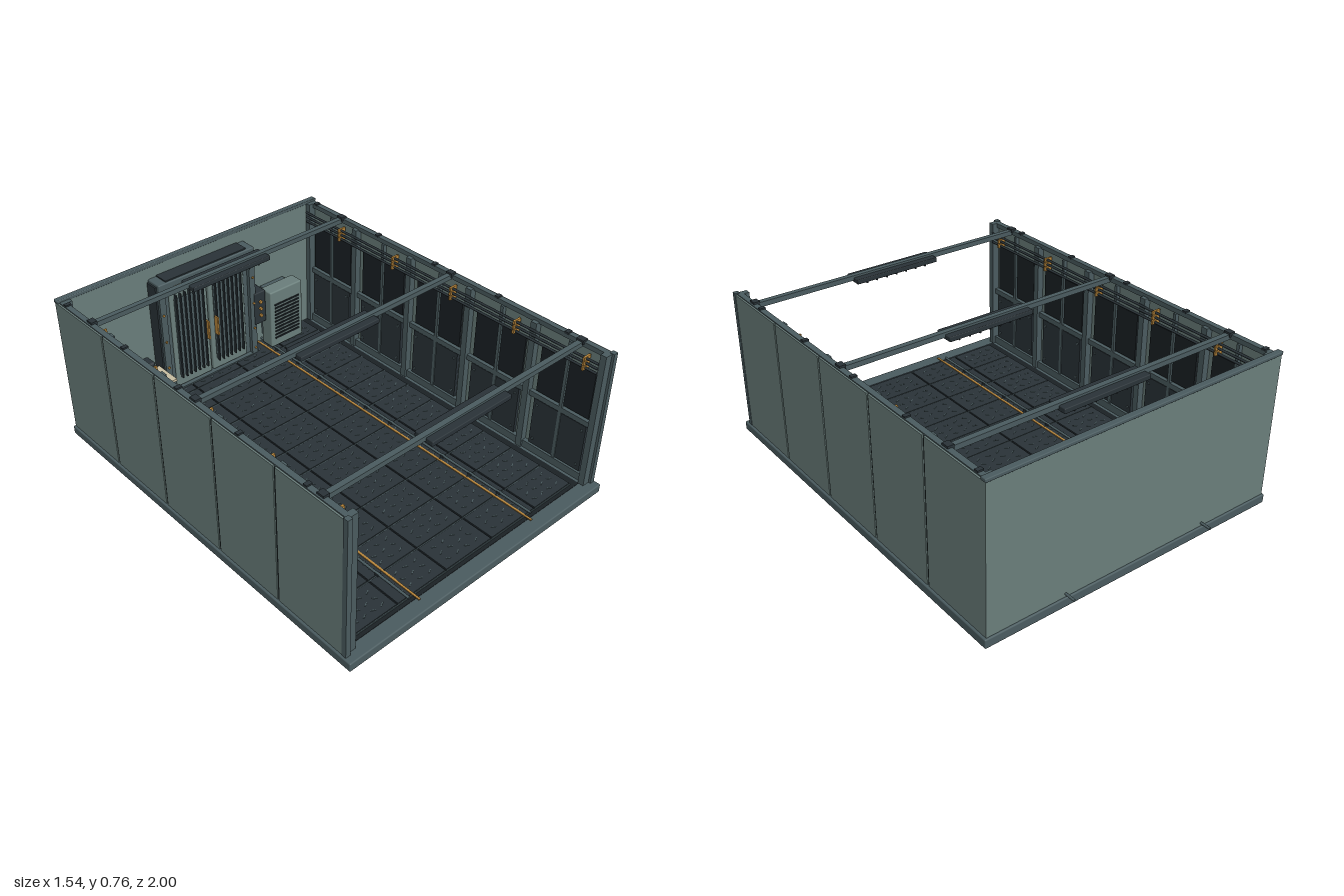
import * as THREE from 'three';
import { mergeGeometries } from 'three/addons/utils/BufferGeometryUtils.js';
import { RoundedBoxGeometry } from 'three/addons/geometries/RoundedBoxGeometry.js';

const material = (color) => new THREE.MeshStandardMaterial({ color });
const wallMat = material(0x6b7f7c), slate = material(0x4b5c60), dark = material(0x2a3338);
const black = material(0x1b2125), brass = material(0xb8863b), cream = material(0xc9bfa3);

// Box geometry given by its min and max on each axis
function span(x0, x1, y0, y1, z0, z1) {
  return new THREE.BoxGeometry(x1 - x0, y1 - y0, z1 - z0)
    .translate((x0 + x1) / 2, (y0 + y1) / 2, (z0 + z1) / 2);
}
function rounded(x0, x1, y0, y1, z0, z1, r = 0.006) {
  return new RoundedBoxGeometry(x1 - x0, y1 - y0, z1 - z0, 2, r)
    .translate((x0 + x1) / 2, (y0 + y1) / 2, (z0 + z1) / 2);
}
// Cylinder lying along z
function rod(r, x, y, z0, z1, sides = 10) {
  return new THREE.CylinderGeometry(r, r, z1 - z0, sides).rotateX(Math.PI / 2).translate(x, y, (z0 + z1) / 2);
}
function add(parent, name, mat, geometries) {
  const list = Array.isArray(geometries) ? geometries : [geometries];
  const mesh = new THREE.Mesh(list.length > 1 ? mergeGeometries(list) : list[0], mat);
  mesh.name = name;
  parent.add(mesh);
  return mesh;
}
function subgroup(parent, name) {
  const g = new THREE.Group();
  g.name = name;
  parent.add(g);
  return g;
}

function buildFloor(root) {
  const g = subgroup(root, 'floor');
  add(g, 'base', slate, rounded(-0.77, 0.77, 0.002, 0.046, -0.955, 1));
  add(g, 'underside', dark, span(-0.765, 0.765, 0, 0.004, -0.95, 0.995));
  add(g, 'deckBed', black, span(-0.7, 0.7, 0.045, 0.048, -0.925, 0.93));

  // Tread plates in a grid with raised diagonal studs
  const xs = [-0.665, -0.427, -0.146, 0.135, 0.416, 0.666];
  const zs = [-0.92];
  for (let i = 0; i < 11; i++) zs.push(-0.79 + i * 0.17);
  const plates = [], studs = [], joints = [];
  for (let i = 0; i < 5; i++) for (let j = 0; j < zs.length - 1; j++) {
    plates.push(span(xs[i] + 0.004, xs[i + 1] - 0.004, 0.046, 0.055, zs[j] + 0.004, zs[j + 1] - 0.004));
    const w = (xs[i + 1] - xs[i]) / 5, d = (zs[j + 1] - zs[j]) / 4;
    for (let a = 1; a < 5; a++) for (let b = 1; b < 4; b++) {
      studs.push(new THREE.BoxGeometry(0.022, 0.003, 0.004).rotateY((a + b) % 2 ? 0.5 : -0.5)
        .translate(xs[i] + a * w, 0.056, zs[j] + b * d));
    }
  }
  for (const z of zs) joints.push(span(-0.665, 0.666, 0.048, 0.053, z - 0.002, z + 0.002));
  add(g, 'treadPlates', dark, plates);
  add(g, 'treadStuds', slate, studs);
  add(g, 'plateJoints', slate, joints);

  // Walkway stripes and floor rails which run out through the back
  for (const s of [-1, 1]) {
    add(g, 'walkwayStripe', brass, span(s * 0.345 - 0.005, s * 0.345 + 0.005, 0.054, 0.059, -0.92, 0.95));
    add(g, 'floorRail', slate, rod(0.006, s * 0.375, 0.062, -1, 0.92));
    const clips = [];
    for (let z = -0.8; z < 0.9; z += 0.17) clips.push(span(s * 0.375 - 0.009, s * 0.375 + 0.009, 0.054, 0.064, z, z + 0.02));
    add(g, 'railClips', dark, clips);
  }
}

// Built for the +x side; s mirrors it
function buildSideWall(root, s) {
  const g = subgroup(root, s > 0 ? 'leftWall' : 'rightWall');
  const box = (x0, x1, ...r) => (s > 0 ? span(x0, x1, ...r) : span(-x1, -x0, ...r));
  const edges = [-0.935, -0.57, -0.19, 0.19, 0.57, 0.95];
  const skins = [], upper = [], lower = [], ribs = [], bolts = [];
  for (let i = 0; i < 5; i++) {
    const a = edges[i] + 0.005, b = edges[i + 1] - 0.005;
    skins.push(box(0.738, 0.76, 0.047, 0.74, a, b));
    lower.push(box(0.722, 0.738, 0.09, 0.34, a + 0.04, b - 0.04));
    upper.push(box(0.728, 0.738, 0.38, 0.62, a + 0.04, b - 0.04));
    for (const z of [a + 0.06, b - 0.06]) for (const y of [0.12, 0.31]) {
      bolts.push(new THREE.CylinderGeometry(0.006, 0.006, 0.006, 8).rotateZ(Math.PI / 2).translate(s * 0.72, y, z));
    }
    if (i) ribs.push(box(0.705, 0.738, 0.047, 0.73, edges[i] - 0.016, edges[i] + 0.016));
    const mid = (a + b) / 2;
    ribs.push(box(0.718, 0.738, 0.047, 0.72, mid - 0.008, mid + 0.008));
  }
  add(g, 'wallPanels', wallMat, skins);
  add(g, 'panelSeams', black, edges.slice(1, 5).map((z) => box(0.736, 0.755, 0.047, 0.735, z - 0.007, z + 0.007)));
  add(g, 'lowerPanels', dark, lower);
  add(g, 'upperPanels', black, upper);
  add(g, 'wallRibs', slate, ribs);
  add(g, 'panelBolts', slate, bolts);
  add(g, 'wallRails', slate, [
    box(0.715, 0.738, 0.047, 0.085, -0.93, 0.94), box(0.718, 0.738, 0.345, 0.372, -0.93, 0.94),
    box(0.725, 0.752, 0.722, 0.745, -0.93, 0.95),
  ]);
  add(g, 'cornerPosts', slate, [
    box(0.7, 0.742, 0.047, 0.745, 0.925, 0.955), box(0.738, 0.762, 0.047, 0.748, 0.943, 0.967),
    box(0.7, 0.738, 0.047, 0.745, -0.93, -0.9),
  ]);
  // Service pipes and their brass clamps
  const heights = [0.648, 0.672, 0.696];
  add(g, 'servicePipes', dark, heights.map((y) => rod(0.006, s * 0.698, y, -0.92, 0.925)));
  const clamps = [];
  for (let i = 0; i < 5; i++) for (const y of heights) {
    const z = -0.66 + i * 0.38;
    clamps.push(box(0.682, 0.726, y - 0.009, y + 0.009, z - 0.005, z + 0.005));
  }
  add(g, 'pipeClamps', brass, clamps);
  add(g, 'topLugs', dark, [-0.88, -0.43, -0.05, 0.34, 0.73].map((z) => box(0.722, 0.75, 0.742, 0.752, z - 0.01, z + 0.01)));
}

function buildBackWall(root) {
  const g = subgroup(root, 'backWall');
  add(g, 'backPanel', wallMat, span(-0.76, 0.76, 0.047, 0.75, -0.947, -0.927));
  add(g, 'backCap', slate, rounded(-0.763, 0.763, 0.74, 0.757, -0.952, -0.922, 0.004));
}

function buildDoor(root) {
  const g = subgroup(root, 'doubleDoor');
  add(g, 'doorLintel', slate, rounded(-0.285, 0.285, 0.642, 0.68, -0.93, -0.84));
  add(g, 'doorHood', dark, span(-0.24, 0.24, 0.678, 0.686, -0.925, -0.85));
  add(g, 'doorLamp', cream, span(-0.2, 0.2, 0.64, 0.65, -0.845, -0.823));
  add(g, 'doorVoid', black, span(-0.255, 0.255, 0.047, 0.645, -0.93, -0.89));
  add(g, 'doorSill', slate, span(-0.25, 0.25, 0.047, 0.062, -0.93, -0.84));
  for (const s of [-1, 1]) {
    const box = (x0, x1, ...r) => (s > 0 ? span(x0, x1, ...r) : span(-x1, -x0, ...r));
    add(g, 'doorJamb', slate, box(0.25, 0.285, 0.047, 0.66, -0.93, -0.845));
    add(g, 'jambEdge', dark, box(0.283, 0.293, 0.047, 0.665, -0.93, -0.86));
    add(g, 'jambBolts', brass, [0.09, 0.21, 0.36, 0.51, 0.64].map((y) => rod(0.006, s * 0.27, y, -0.846, -0.838, 8)));
    const leaf = s > 0 ? [0.005, 0.222] : [-0.222, -0.005];
    add(g, 'doorLeaf', wallMat, rounded(...leaf, 0.065, 0.632, -0.9, -0.855, 0.008));
    add(g, 'doorEdge', slate, box(0.222, 0.25, 0.062, 0.645, -0.9, -0.865));
    add(g, 'leafInset', slate, box(0.027, 0.2, 0.13, 0.568, -0.86, -0.85));
    const slats = [];
    for (let i = 0; i < 7; i++) slats.push(box(0.034 + i * 0.026, 0.04 + i * 0.026, 0.115, 0.592, -0.855, -0.838));
    add(g, 'leafSlats', dark, slats);
    add(g, 'doorHandle', brass, s > 0 ? rounded(0.023, 0.033, 0.28, 0.385, -0.85, -0.822, 0.003)
      : rounded(-0.033, -0.023, 0.28, 0.385, -0.85, -0.822, 0.003));
  }
}

function buildDesk(root) {
  const g = subgroup(root, 'desk');
  add(g, 'deskCabinet', wallMat, span(-0.578, -0.317, 0.05, 0.205, -0.88, -0.75));
  add(g, 'deskTop', cream, span(-0.6, -0.3, 0.204, 0.216, -0.885, -0.735));
  add(g, 'terminal', dark, rounded(-0.527, -0.37, 0.216, 0.315, -0.868, -0.797, 0.012));
  add(g, 'screen', slate, span(-0.512, -0.385, 0.235, 0.3, -0.8, -0.794));
  const keys = [];
  for (let r = 0; r < 2; r++) for (let i = 0; i < 6; i++) {
    const x = -0.535 + i * 0.028, z = -0.78 + r * 0.02;
    keys.push(span(x, x + 0.02, 0.215, 0.222, z, z + 0.012));
  }
  add(g, 'keys', dark, keys);
}

function buildEquipment(root) {
  const g = subgroup(root, 'airFilter');
  add(g, 'filterHousing', wallMat, rounded(0.35, 0.56, 0.07, 0.4, -0.885, -0.805, 0.008));
  add(g, 'filterMount', slate, span(0.38, 0.53, 0.09, 0.38, -0.93, -0.88));
  const louvres = [];
  for (let i = 0; i < 11; i++) louvres.push(span(0.375, 0.535, 0.117 + i * 0.02, 0.126 + i * 0.02, -0.81, -0.8));
  add(g, 'filterLouvres', black, louvres);
  const c = subgroup(root, 'doorControl');
  add(c, 'controlBox', dark, rounded(0.273, 0.345, 0.225, 0.41, -0.93, -0.84));
  add(c, 'controlButtons', brass, [0.275, 0.315, 0.355].map((y) => rod(0.009, 0.309, y, -0.842, -0.83, 12)));
}

function buildCeilingBeams(root) {
  for (const z of [-0.688, 0.058, 0.806]) {
    const g = subgroup(root, 'ceilingBeam');
    add(g, 'beam', slate, span(-0.722, 0.722, 0.722, 0.746, z - 0.013, z + 0.013));
    add(g, 'lampHousing', dark, rounded(-0.226, 0.226, 0.712, 0.736, z - 0.048, z + 0.048, 0.004));
    add(g, 'lampStrip', cream, span(-0.17, 0.17, 0.706, 0.713, z - 0.025, z + 0.025));
    const guards = [];
    for (let i = 0; i < 7; i++) guards.push(span(-0.168 + i * 0.055, -0.162 + i * 0.055, 0.7, 0.714, z - 0.035, z + 0.035));
    add(g, 'lampGuards', dark, guards);
    add(g, 'beamBrackets', dark, [-1, 1].map((s) => span(s * 0.73 - 0.015, s * 0.73 + 0.015, 0.735, 0.755, z - 0.018, z + 0.018)));
  }
}

export function createModel() {
  const root = new THREE.Group();
  root.name = 'bunkerRoom';
  buildFloor(root);
  for (const s of [-1, 1]) buildSideWall(root, s);
  buildBackWall(root);
  buildDoor(root);
  buildDesk(root);
  buildEquipment(root);
  buildCeilingBeams(root);
  return root;
}
